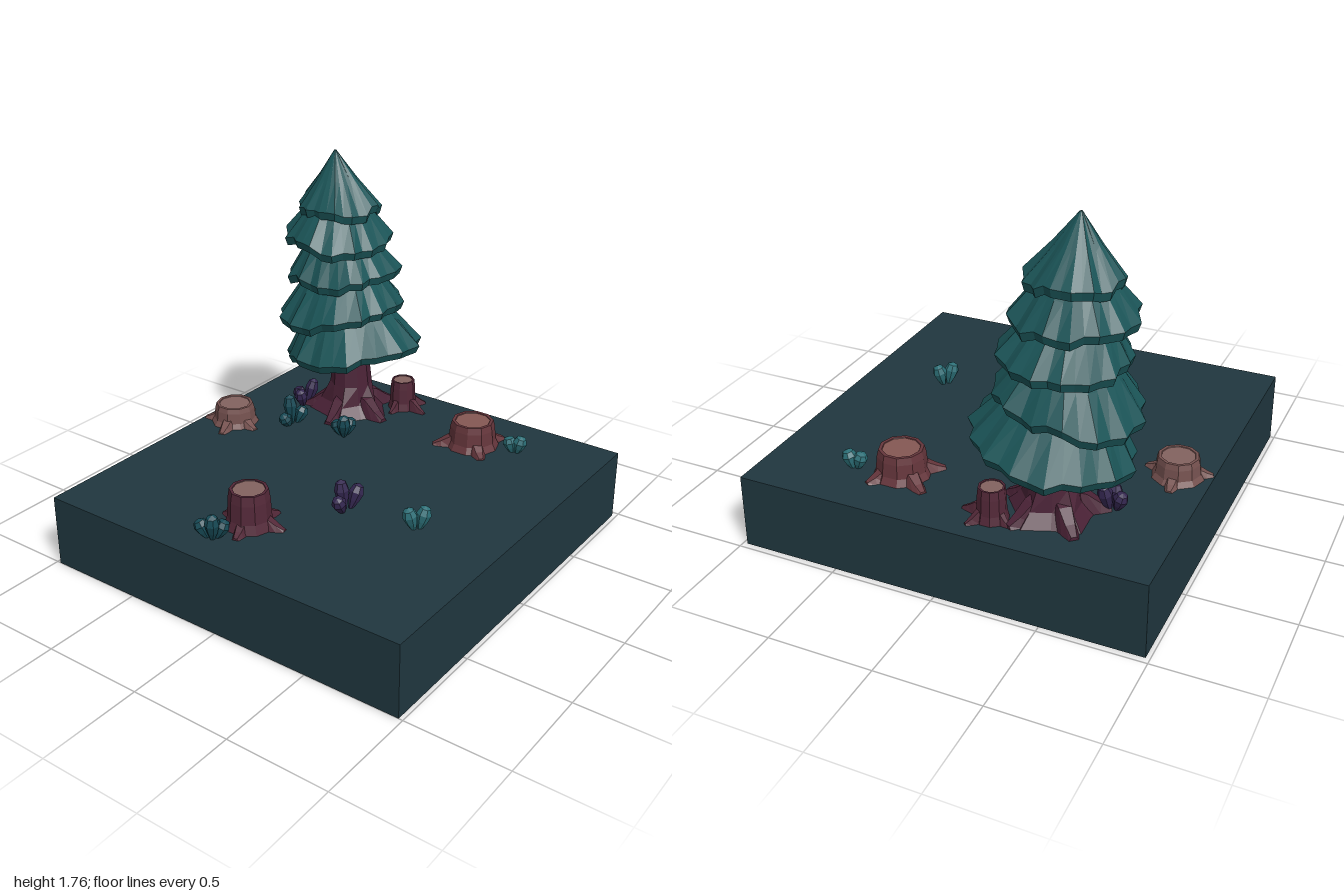
import * as THREE from 'three';

const GROUND = 0.36;
const mat = (color) => new THREE.MeshStandardMaterial({ color, flatShading: true, roughness: 0.9 });
const M = {
  earth: mat(0x20373f), foliage: mat(0x1b5558), trunk: mat(0x4a2236), wine: mat(0x532838),
  rust: mat(0x66363c), tan: mat(0x75514f), cutPale: mat(0x83625f), cutWarm: mat(0x855853),
  teal: mat(0x174a56), purple: mat(0x33264f), aqua: mat(0x2b6e76),
};

// Small repeatable noise in -1..1
const noise = (n) => {
  const s = Math.sin(n * 127.1 + 11.7) * 43758.5453;
  return (s - Math.floor(s)) * 2 - 1;
};

// Faceted skin over a list of rings, with optional end caps
function loft(rings, capStart = true, capEnd = true) {
  const out = [];
  const tri = (...ps) => ps.forEach((p) => out.push(p.x, p.y, p.z));
  const n = rings[0].length;
  for (let k = 0; k < rings.length - 1; k++) {
    for (let i = 0; i < n; i++) {
      const j = (i + 1) % n, a = rings[k], b = rings[k + 1];
      tri(a[i], a[j], b[j]);
      tri(a[i], b[j], b[i]);
    }
  }
  const cap = (ring, flip) => {
    const c = ring.reduce((s, p) => s.add(p), new THREE.Vector3()).divideScalar(n);
    for (let i = 0; i < n; i++) {
      const j = (i + 1) % n;
      if (flip) tri(c, ring[j], ring[i]); else tri(c, ring[i], ring[j]);
    }
  };
  if (capStart) cap(rings[0], true);
  if (capEnd) cap(rings[rings.length - 1], false);
  const g = new THREE.BufferGeometry();
  g.setAttribute('position', new THREE.Float32BufferAttribute(out, 3));
  g.computeVertexNormals();
  return g;
}

// Horizontal ring; vary(i, angle) returns [radius factor, height offset]
function ring(n, x, y, z, r, vary = () => [1, 0]) {
  return Array.from({ length: n }, (_, i) => {
    const a = (i / n) * Math.PI * 2, [f, dy] = vary(i, a);
    return new THREE.Vector3(x + Math.cos(a) * r * f, y + dy, z - Math.sin(a) * r * f);
  });
}

function addMesh(parent, name, geometry, material) {
  const m = new THREE.Mesh(geometry, material);
  m.name = name;
  parent.add(m);
  return m;
}

// Wedge root running along the ground from the trunk axis to (dx, dz)
function addRoot(parent, dx, dz, height, width, material) {
  const len = Math.hypot(dx, dz);
  const section = (x, h, w) => [[0, -w], [h, -w * 0.55], [h, w * 0.55], [0, w]]
    .map(([y, z]) => new THREE.Vector3(x, y, z));
  const root = addMesh(parent, 'root', loft([
    section(0, height, width), section(len * 0.55, height * 0.72, width * 0.8),
    section(len * 0.8, height * 0.35, width * 0.6), section(len, height * 0.12, width * 0.35),
  ]), material);
  root.rotation.y = Math.atan2(-dz, dx);
}

// Cut stump with a flared foot, a bark rim and a recessed cut face
function addStump(parent, { x, z, r, h, roots, bark, cut }) {
  const g = new THREE.Group();
  g.name = 'stump';
  g.position.set(x, GROUND, z);
  addMesh(g, 'stumpBark', loft([
    ring(10, 0, 0, 0, r * 1.3), ring(10, 0, h * 0.25, 0, r * 1.14), ring(10, 0, h * 0.75, 0, r * 1.08),
    ring(10, 0, h, 0, r), ring(10, 0, h, 0, r * 0.85), ring(10, 0, h - 0.006, 0, r * 0.82),
  ], true, false), bark);
  addMesh(g, 'cutFace', loft([ring(10, 0, h - 0.02, 0, r * 0.84), ring(10, 0, h - 0.004, 0, r * 0.83)]), cut);
  roots.forEach(([rx, rz]) => addRoot(g, rx - x, rz - z, Math.min(h * 0.6, 0.075), r * 0.5, bark));
  parent.add(g);
}

// Plant of rounded pods; each pod is [tip x, tip z, height]
function addPlant(parent, material, pods) {
  const g = new THREE.Group();
  g.name = 'podPlant';
  const cx = pods.reduce((s, p) => s + p[0], 0) / pods.length;
  const cz = pods.reduce((s, p) => s + p[1], 0) / pods.length;
  pods.forEach(([x, z, h]) => {
    const w = 0.036;
    const profile = [[0, 0], [0.01, 0], [w * 0.75, h * 0.35], [w, h * 0.65], [w * 0.7, h * 0.9], [0, h]];
    const pod = addMesh(g, 'pod', new THREE.LatheGeometry(profile.map(([a, b]) => new THREE.Vector2(a, b)), 7), material);
    const base = new THREE.Vector3(cx + (x - cx) * 0.35, GROUND - 0.005, cz + (z - cz) * 0.35);
    const dir = new THREE.Vector3(x - base.x, h * 0.8, z - base.z).normalize();
    pod.position.copy(base);
    pod.quaternion.setFromUnitVectors(new THREE.Vector3(0, 1, 0), dir);
  });
  parent.add(g);
}

// Skirt of needles: hollow underside, thick ragged rim, pleated slope
function addTier(parent, t, k) {
  const n = 30, seed = k * 97;
  const vary = (amount) => (i, a) => {
    const step = Math.floor(i / 2);
    const f = 0.96 + amount * (noise(seed + step) * 0.05 + (i % 2 ? 0.03 : -0.03));
    return [f, t.tilt * Math.cos(a) * amount + amount * noise(seed + step + 40) * 0.022];
  };
  const mix = (a, b, s) => a + (b - a) * s;
  const at = (s, rs, amount) => ring(n, mix(t.x, t.tx, s), mix(t.y, t.ty, s), mix(t.z, t.tz, s), rs, vary(amount));
  const under = ring(n, t.tx, t.y + (t.ty - t.y) * 0.6, t.tz, 0.07);
  const low = at(0, t.r * 0.95, 1);
  low.forEach((p) => { p.y -= 0.04; });
  addMesh(parent, 'needleTier', loft([
    under, low, at(0, t.r, 1), at(0.5, mix(t.r, t.tr, 0.52), 0.5), at(1, t.tr, 0.1),
  ], true, true), M.foliage);
}

export function createModel() {
  const model = new THREE.Group();
  model.name = 'forestClearing';

  // Ground slab
  addMesh(model, 'groundSlab', new THREE.BoxGeometry(1.96, GROUND, 1.97), M.earth)
    .position.set(0, GROUND / 2, 0.015);

  // Fir tree
  const tree = new THREE.Group();
  tree.name = 'firTree';
  model.add(tree);
  const flare = (i) => [i % 2 ? 0.85 : 1.1, 0];
  addMesh(tree, 'trunk', loft([
    ring(10, -0.42, GROUND, -0.62, 0.2, flare), ring(10, -0.42, 0.42, -0.62, 0.145, flare),
    ring(10, -0.42, 0.52, -0.62, 0.11), ring(10, -0.425, 0.75, -0.62, 0.088), ring(10, -0.45, 1.05, -0.62, 0.07),
  ]), M.trunk);
  const treeRoots = new THREE.Group();
  treeRoots.name = 'treeRoots';
  treeRoots.position.set(-0.42, GROUND, -0.62);
  tree.add(treeRoots);
  for (let i = 0; i < 5; i++) {
    const a = i * Math.PI * 0.4 + 0.2;
    addRoot(treeRoots, Math.cos(a) * 0.25, Math.sin(a) * 0.25, 0.13, 0.065, M.trunk);
  }
  [
    { x: -0.41, y: 0.73, z: -0.63, r: 0.37, tilt: 0.06, tx: -0.45, ty: 1.05, tz: -0.61, tr: 0.15 },
    { x: -0.47, y: 0.93, z: -0.595, r: 0.335, tilt: 0.05, tx: -0.475, ty: 1.22, tz: -0.62, tr: 0.13 },
    { x: -0.465, y: 1.14, z: -0.62, r: 0.29, tilt: 0.005, tx: -0.49, ty: 1.39, tz: -0.61, tr: 0.12 },
    { x: -0.495, y: 1.32, z: -0.605, r: 0.275, tilt: -0.012, tx: -0.505, ty: 1.56, tz: -0.62, tr: 0.1 },
    { x: -0.5, y: 1.49, z: -0.625, r: 0.21, tilt: -0.005, tx: -0.52, ty: 1.755, tz: -0.62, tr: 0.006 },
  ].forEach((t, k) => addTier(tree, t, k + 1));

  // Stumps, roots given by the positions of their tips
  [
    { x: -0.82, z: -0.13, r: 0.095, h: 0.105, bark: M.tan, cut: M.cutPale,
      roots: [[-0.83, -0.29], [-0.66, -0.1], [-0.97, -0.07], [-0.77, 0.04]] },
    { x: 0.33, z: -0.63, r: 0.105, h: 0.135, bark: M.rust, cut: M.cutWarm,
      roots: [[0.16, -0.75], [0.43, -0.78], [0.46, -0.5], [0.17, -0.51]] },
    { x: -0.08, z: 0.64, r: 0.09, h: 0.185, bark: M.wine, cut: M.cutPale,
      roots: [[-0.04, 0.48], [0.09, 0.6], [-0.24, 0.63], [-0.04, 0.79]] },
    { x: -0.2, z: -0.79, r: 0.06, h: 0.16, bark: M.wine, cut: M.cutPale,
      roots: [[-0.12, -0.89], [-0.05, -0.77], [-0.3, -0.83], [-0.2, -0.67]] },
  ].forEach((s) => addStump(model, s));

  // Pod plants
  addPlant(model, M.teal, [[-0.2, 0.85, 0.1], [-0.12, 0.85, 0.14], [-0.1, 0.79, 0.1]]);
  addPlant(model, M.teal, [[-0.56, -0.21, 0.09], [-0.57, -0.28, 0.165], [-0.53, -0.35, 0.1]]);
  addPlant(model, M.teal, [[-0.3, -0.32, 0.09], [-0.23, -0.29, 0.14], [-0.24, -0.37, 0.1]]);
  addPlant(model, M.purple, [[0.22, 0.21, 0.13], [0.17, 0.28, 0.155], [0.2, 0.35, 0.11]]);
  addPlant(model, M.purple, [[-0.69, -0.51, 0.1], [-0.62, -0.55, 0.15], [-0.64, -0.46, 0.11]]);
  addPlant(model, M.aqua, [[0.58, 0.2, 0.12], [0.53, 0.26, 0.12]]);
  addPlant(model, M.aqua, [[0.52, -0.67, 0.09], [0.58, -0.685, 0.1]]);
  return model;
}
